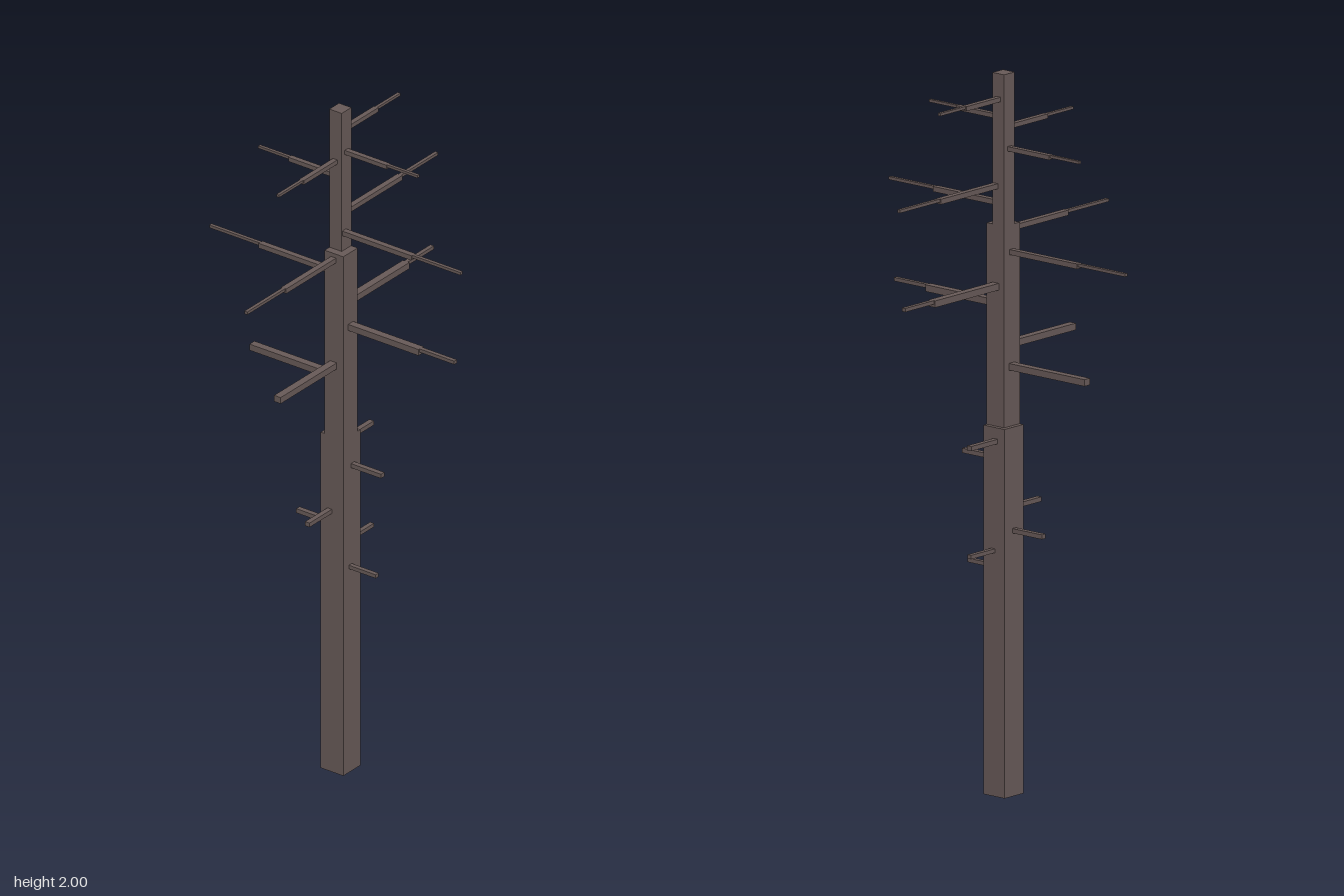
import * as THREE from 'three';

export function createModel() {
  const model = new THREE.Group();
  const bark = new THREE.MeshStandardMaterial({ color: 0x685a58, flatShading: true });

  // Box given by its lower and upper corners
  function block(name, parent, lo, hi) {
    const size = hi.map((v, i) => v - lo[i]);
    const mesh = new THREE.Mesh(new THREE.BoxGeometry(...size), bark);
    mesh.position.set(...hi.map((v, i) => (v + lo[i]) / 2));
    mesh.name = name;
    parent.add(mesh);
  }

  // Trunk in three stepped lengths
  block('lowerTrunk', model, [-0.027, 0, -0.043], [0.049, 1.022, 0.034]);
  block('middleTrunk', model, [-0.014, 1.022, -0.03], [0.049, 1.58, 0.034]);
  block('upperTrunk', model, [-0.015, 1.58, -0.031], [0.027, 2, 0.012]);

  // Branch: a thick inner bar, then an optional thin tip flush with its top.
  // axis 0 runs along x, axis 2 along z; side is the offset on the other axis
  function branch(name, axis, top, side, thick, reach, tip, tipThick) {
    const group = new THREE.Group();
    group.name = name;
    const bar = (part, from, to, t) => {
      const lo = [side - t / 2, top - t * 0.85, side - t / 2];
      const hi = [side + t / 2, top, side + t / 2];
      lo[axis] = Math.min(from, to);
      hi[axis] = Math.max(from, to);
      block(part, group, lo, hi);
    };
    bar('branchBase', 0, reach, thick);
    if (tip) bar('branchTip', reach, tip, tipThick);
    model.add(group);
  }

  // Each row: top height, side offset, thickness, reach, tip reach, tip thickness
  const sets = [
    ['leftBranch', 0, [
      [0.631, 0.003, 0.013, 0.14], [0.936, -0.008, 0.015, 0.15],
      [1.365, 0.001, 0.022, 0.286, 0.403, 0.012],
      [1.641, 0.001, 0.017, 0.26, 0.423, 0.01],
      [1.882, -0.009, 0.015, 0.168, 0.27, 0.009]]],
    ['rightBranch', 0, [
      [0.742, -0.004, 0.015, -0.133], [1.197, 0, 0.022, -0.285],
      [1.512, 0, 0.017, -0.256, -0.425, 0.01],
      [1.799, -0.01, 0.015, -0.164, -0.268, 0.009]]],
    ['frontBranch', 2, [
      [0.799, 0.003, 0.015, 0.133], [1.25, 0.016, 0.022, 0.283],
      [1.568, 0.016, 0.017, 0.255, 0.423, 0.01],
      [1.854, 0.005, 0.015, 0.161, 0.267, 0.009]]],
    ['backBranch', 2, [
      [0.686, 0.014, 0.013, -0.14], [0.991, 0.005, 0.015, -0.15],
      [1.419, 0.016, 0.022, -0.288, -0.404, 0.012],
      [1.695, 0.016, 0.017, -0.261, -0.424, 0.01],
      [1.936, 0.005, 0.015, -0.17, -0.272, 0.009]]],
  ];
  for (const [name, axis, rows] of sets)
    rows.forEach((row, i) => branch(name + (i + 1), axis, ...row));

  return model;
}
